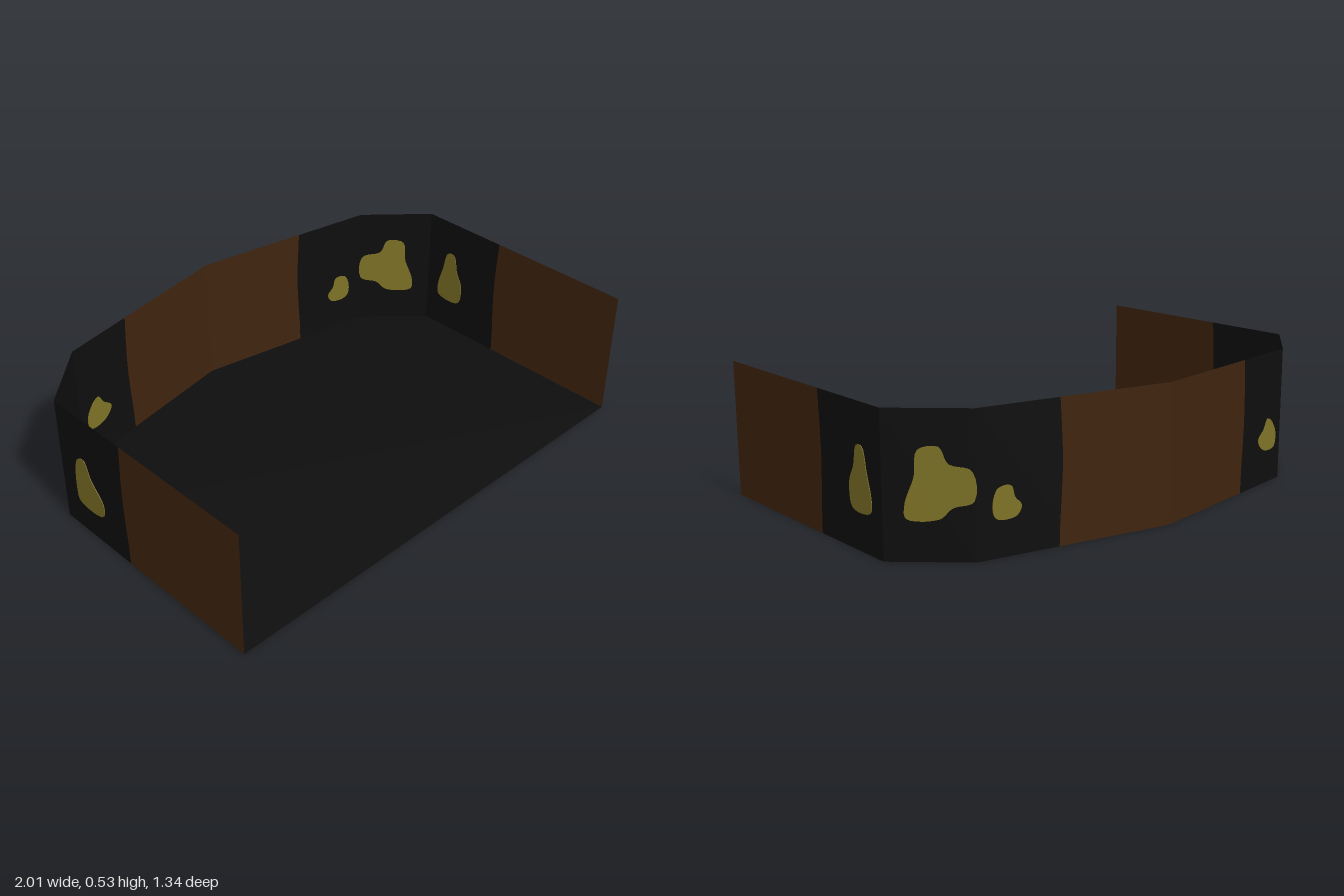
import * as THREE from 'three';

const HEIGHT = 0.53;

function material(name, color, side = THREE.DoubleSide) {
  const m = new THREE.MeshStandardMaterial({ color, side });
  m.name = name;
  return m;
}

function shapeOf(points) {
  return new THREE.Shape(points.map(([x, y]) => new THREE.Vector2(x, y)));
}

// Rounds a few outline points into a soft closed blob
function soften(points) {
  const curve = new THREE.CatmullRomCurve3(points.map(([x, y]) => new THREE.Vector3(x, y, 0)), true);
  return curve.getPoints(48).slice(0, -1).map((p) => [p.x, p.y]);
}

// A nearly upright colour seam with a slight ripple
function seamAt(c) {
  return [0, 1, 2, 3, 4, 5, 6].map((k) => [c + 0.006 * Math.cos(k * 0.9), (k / 6) * HEIGHT]);
}

export function createModel() {
  const model = new THREE.Group();
  model.name = 'openRoom';
  const mats = {
    black: material('black', 0x0e0e0e),
    brown: material('brown', 0x40240f),
    olive: material('olive', 0x7e7226, THREE.FrontSide),
  };
  const add = (parent, name, geometry, mat) => {
    const mesh = new THREE.Mesh(geometry, mat);
    mesh.name = name;
    parent.add(mesh);
  };

  // Left half of the ground outline as [x, z], front to back, then its mirror image
  const half = [[1, 0.67], [1, -0.32], [0.77, -0.53]];
  const outline = [...half, [0, -0.67], ...half.map(([x, z]) => [-x, z]).reverse()];

  // Floor
  const floor = new THREE.ShapeGeometry(shapeOf(outline.map(([x, z]) => [x, -z])));
  add(model, 'floor', floor.rotateX(-Math.PI / 2), mats.black);

  // A wall on one outline edge, drawn flat in (fraction along, height), then stood up.
  // Seam and spot are placed by [z, y] on the side walls and [x, y] on the others.
  const addWall = (name, i, colors, seam, spot) => {
    const p = outline[i], q = outline[i + 1];
    const axis = p[0] === q[0] ? 1 : 0;
    const along = new THREE.Vector3(q[0] - p[0], 0, q[1] - p[1]);
    const up = new THREE.Vector3(0, 1, 0);
    const out = along.clone().cross(up).normalize();
    const stand = new THREE.Matrix4().makeBasis(along, up, out).setPosition(p[0], 0, p[1]);
    const toWall = ([c, y]) => [(c - p[axis]) / (q[axis] - p[axis]), y];

    const wall = new THREE.Group();
    wall.name = name;
    model.add(wall);

    // Panels either side of the seam
    const seams = seam === null ? [] : [seamAt(seam).map(toWall)];
    const edges = [[[0, 0], [0, HEIGHT]], ...seams, [[1, 0], [1, HEIGHT]]];
    colors.forEach((color, k) => {
      const panel = shapeOf([...edges[k], ...[...edges[k + 1]].reverse()]);
      add(wall, color + 'Panel', new THREE.ShapeGeometry(panel).applyMatrix4(stand), mats[color]);
    });

    // Painted spot, a thin plate showing on both faces of the wall
    const plate = new THREE.ExtrudeGeometry(shapeOf(soften(spot).map(toWall)), { depth: 0.005, bevelEnabled: false });
    add(wall, 'paintedSpot', plate.translate(0, 0, -0.0025).applyMatrix4(stand), mats.olive);
  };

  addWall('leftSideWall', 0, ['brown', 'black'], 0.06,
    [[-0.14, 0.15], [-0.25, 0.15], [-0.26, 0.19], [-0.235, 0.29], [-0.21, 0.375], [-0.175, 0.375], [-0.155, 0.3], [-0.127, 0.24]]);
  addWall('leftCornerWall', 1, ['black'], null,
    [[0.86, 0.15], [0.94, 0.15], [0.945, 0.2], [0.92, 0.3], [0.91, 0.39], [0.86, 0.4], [0.835, 0.34], [0.78, 0.32], [0.775, 0.21], [0.825, 0.19]]);
  addWall('leftBackWall', 2, ['black', 'brown'], 0.447,
    [[0.62, 0.14], [0.695, 0.14], [0.71, 0.18], [0.69, 0.245], [0.64, 0.25], [0.625, 0.208], [0.6, 0.175]]);
  addWall('rightBackWall', 3, ['brown', 'black'], -0.49,
    [[-0.725, 0.14], [-0.645, 0.14], [-0.605, 0.185], [-0.645, 0.225], [-0.67, 0.263], [-0.7, 0.25], [-0.735, 0.195]]);
  addWall('rightCornerWall', 4, ['black'], null,
    [[-0.94, 0.122], [-0.84, 0.122], [-0.825, 0.19], [-0.855, 0.26], [-0.875, 0.32], [-0.925, 0.315], [-0.945, 0.24], [-0.973, 0.185]]);
  addWall('rightSideWall', 5, ['black', 'brown'], 0.05,
    [[-0.09, 0.13], [-0.225, 0.127], [-0.238, 0.18], [-0.215, 0.325], [-0.175, 0.342], [-0.14, 0.27], [-0.077, 0.19]]);

  return model;
}
